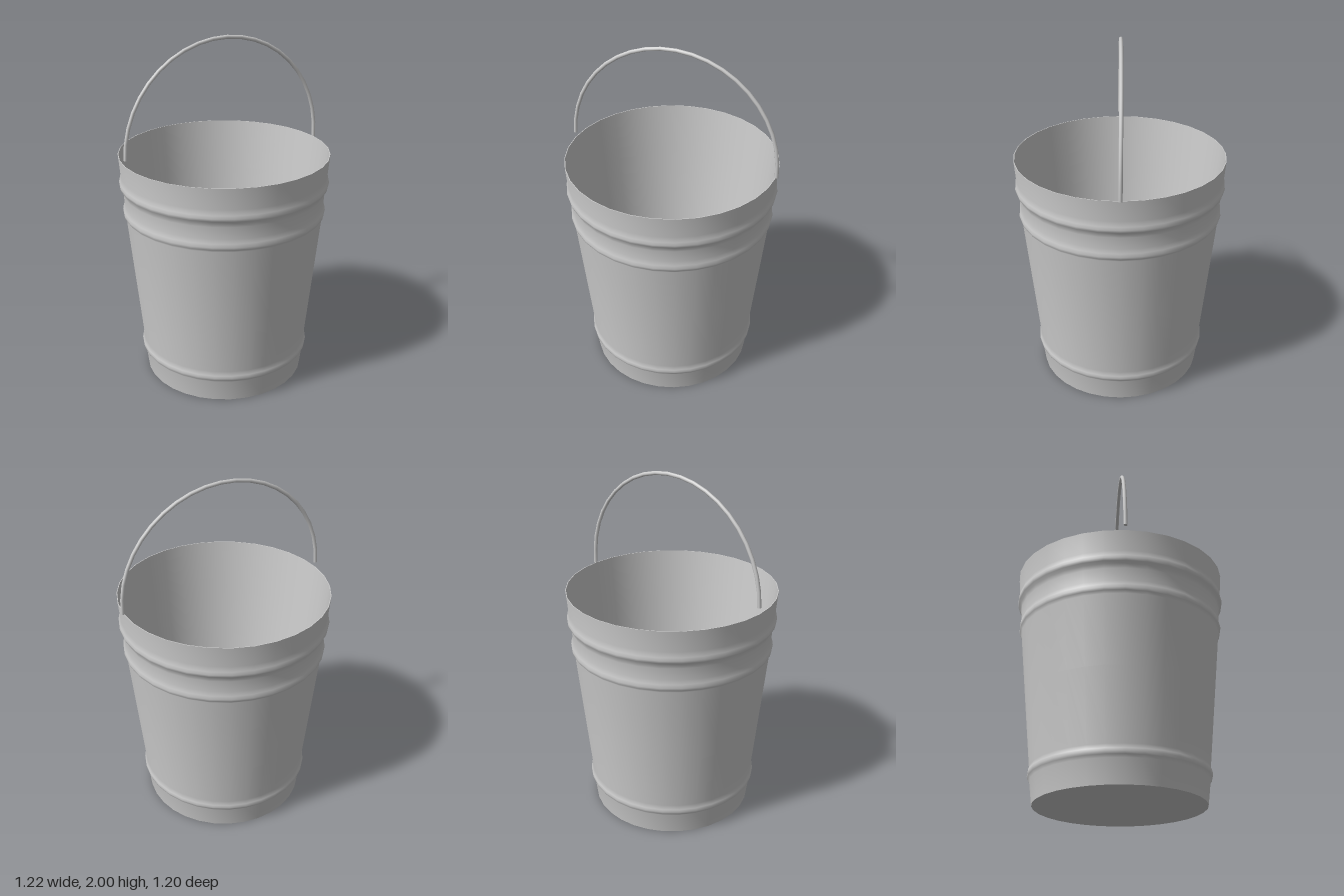
import * as THREE from 'three';

const SIDES = 32;

function lathe(name, profile, material) {
  const points = profile.map(([r, y]) => new THREE.Vector2(r, y));
  const mesh = new THREE.Mesh(new THREE.LatheGeometry(points, SIDES), material);
  mesh.name = name;
  mesh.position.x = -0.004;
  return mesh;
}

export function createModel() {
  const group = new THREE.Group();
  group.name = 'bucket';
  const metal = new THREE.MeshStandardMaterial({ color: 0xcccccc });

  // Outer wall with three pressed ridges
  group.add(lathe('outerWall', [
    [0.47, 0], [0.486, 0.13], [0.497, 0.145], [0.5, 0.16], [0.498, 0.175], [0.49, 0.2],
    [0.53, 0.6], [0.568, 0.985], [0.579, 1.0], [0.582, 1.015], [0.579, 1.035], [0.572, 1.06],
    [0.577, 1.13], [0.583, 1.155], [0.594, 1.167], [0.598, 1.183], [0.594, 1.2], [0.588, 1.23],
    [0.598, 1.35],
  ], metal));

  // Plain inner wall running smoothly into the floor
  group.add(lathe('innerWall', [
    [0.594, 1.35], [0.566, 1.05], [0.515, 0.5], [0.465, 0.02], [0, 0.02],
  ], metal));

  group.add(lathe('rim', [[0.598, 1.35], [0.594, 1.35]], metal));
  group.add(lathe('base', [[0, 0], [0.47, 0]], metal));

  // Wire handle: a half circle, its right-hand end a little lower
  const wire = 0.011;
  const path = [];
  for (let i = 0; i <= 20; i++) {
    const a = Math.PI * (1 - i / 20);
    path.push(new THREE.Vector3(0.597 * Math.cos(a), 1.385 + 0.604 * Math.sin(a), -0.006 * Math.sin(a)));
  }
  path.push(new THREE.Vector3(0.597, 1.35, 0));
  const curve = new THREE.CatmullRomCurve3(path);
  const handle = new THREE.Mesh(new THREE.TubeGeometry(curve, 22, wire, 8), metal);
  handle.name = 'handle';
  group.add(handle);

  // Flat ends of the wire
  for (const end of [path[0], path[path.length - 1]]) {
    const cap = new THREE.Mesh(new THREE.CircleGeometry(wire, 8), metal);
    cap.name = 'handleEnd';
    cap.rotation.x = Math.PI / 2;
    cap.position.copy(end);
    group.add(cap);
  }
  return group;
}
